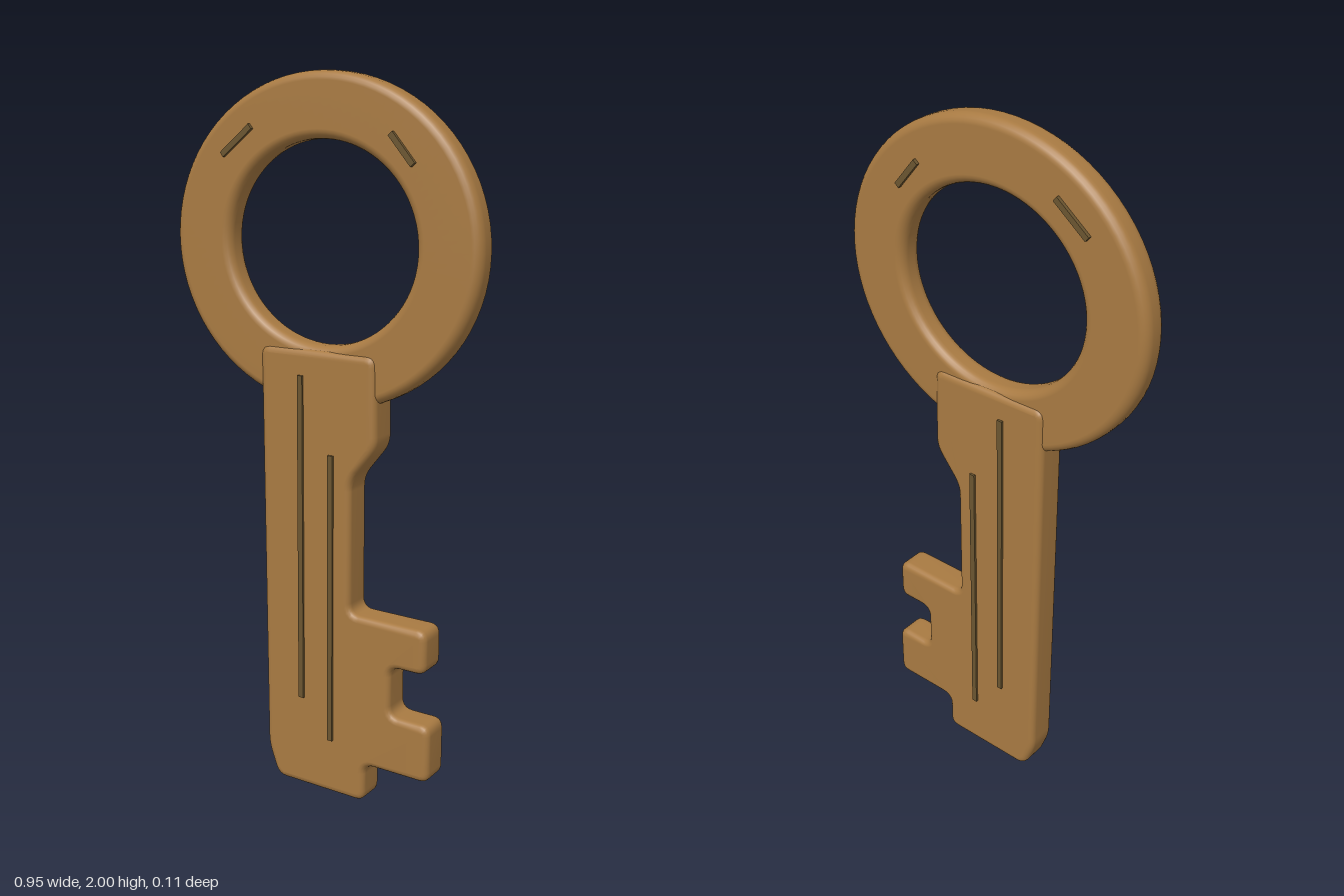
import * as THREE from 'three';
import { mergeVertices } from 'three/addons/utils/BufferGeometryUtils.js';

const RING_HALF = 0.039, BLADE_HALF = 0.047;

// Weld and smooth, so broad flat faces stay flat and bevels look round
function smooth(geometry) {
  geometry.deleteAttribute('uv');
  geometry.deleteAttribute('normal');
  const welded = mergeVertices(geometry, 1e-4);
  welded.computeVertexNormals();
  return welded;
}

// Closed outline with every corner rounded
function roundedOutline(corners, radius) {
  const pts = corners.map(([x, y]) => new THREE.Vector2(x, y));
  const shape = new THREE.Shape();
  pts.forEach((p, i) => {
    const prev = pts[(i + pts.length - 1) % pts.length];
    const next = pts[(i + 1) % pts.length];
    const a = p.clone().add(prev.clone().sub(p).setLength(radius));
    const b = p.clone().add(next.clone().sub(p).setLength(radius));
    if (i === 0) shape.moveTo(a.x, a.y);
    else shape.lineTo(a.x, a.y);
    shape.quadraticCurveTo(p.x, p.y, b.x, b.y);
  });
  shape.closePath();
  return shape;
}

export function createModel() {
  const key = new THREE.Group();
  key.name = 'key';
  const brass = new THREE.MeshStandardMaterial({ color: 0xa87a42 });
  brass.name = 'brass';
  const darkBrass = new THREE.MeshStandardMaterial({ color: 0x6b5530 });
  darkBrass.name = 'dark brass';

  const add = (name, geometry, material) => {
    const mesh = new THREE.Mesh(geometry, material);
    mesh.name = name;
    key.add(mesh);
    return mesh;
  };

  // Oval bow: a rounded rectangle swept around the hole
  const inner = 0.29, outer = 0.475, bevel = 0.027;
  const profile = [];
  const corners = [
    [outer - bevel, -RING_HALF + bevel, -Math.PI / 2],
    [outer - bevel, RING_HALF - bevel, 0],
    [inner + bevel, RING_HALF - bevel, Math.PI / 2],
    [inner + bevel, -RING_HALF + bevel, Math.PI],
  ];
  for (const [r, y, start] of corners) {
    for (let i = 0; i <= 5; i++) {
      const t = start + (i / 5) * Math.PI / 2;
      profile.push(new THREE.Vector2(r + bevel * Math.cos(t), y + bevel * Math.sin(t)));
    }
  }
  profile.push(profile[0].clone());
  const bow = new THREE.LatheGeometry(profile, 80);
  bow.rotateX(Math.PI / 2);
  bow.scale(1, 0.44 / outer, 1);
  bow.translate(0, 1.56, 0);
  add('bow', smooth(bow), brass);

  // Shank with its shoulder and two teeth
  const outline = roundedOutline([
    [-0.14, 0.005], [0.155, 0.005], [0.155, 0.12], [0.36, 0.12],
    [0.36, 0.288], [0.235, 0.288], [0.235, 0.434], [0.345, 0.434],
    [0.345, 0.56], [0.105, 0.56], [0.105, 0.94], [0.185, 1.04],
    [0.18, 1.286], [-0.185, 1.286], [-0.175, 0.1],
  ], 0.03);
  const edge = 0.018, depth = 2 * (BLADE_HALF - edge);
  const blade = new THREE.ExtrudeGeometry(outline, {
    depth, curveSegments: 5, bevelEnabled: true, bevelSegments: 4,
    bevelSize: edge, bevelThickness: edge, bevelOffset: -edge,
  });
  blade.translate(0, -0.005, -depth / 2);
  add('blade', smooth(blade), brass);

  // Dark strips on both faces: x, y, length, angle, surface height
  const strips = [
    ['longLine', -0.05, 0.742, 0.935, Math.PI / 2, BLADE_HALF],
    ['shortLine', 0.047, 0.583, 0.835, Math.PI / 2, BLADE_HALF],
    ['bowMarkRight', -0.255, 1.822, 0.12, 0.67, RING_HALF + 0.004],
    ['bowMarkLeft', 0.253, 1.807, 0.1, -0.86, RING_HALF + 0.004],
  ];
  for (const [name, x, y, length, angle, height] of strips) {
    for (const side of [1, -1]) {
      const strip = add(name + (side > 0 ? 'Front' : 'Back'),
        new THREE.BoxGeometry(length, 0.016, 0.0095), darkBrass);
      strip.position.set(x, y, side * (height + 0.002));
      strip.rotation.z = angle;
    }
  }
  return key;
}
